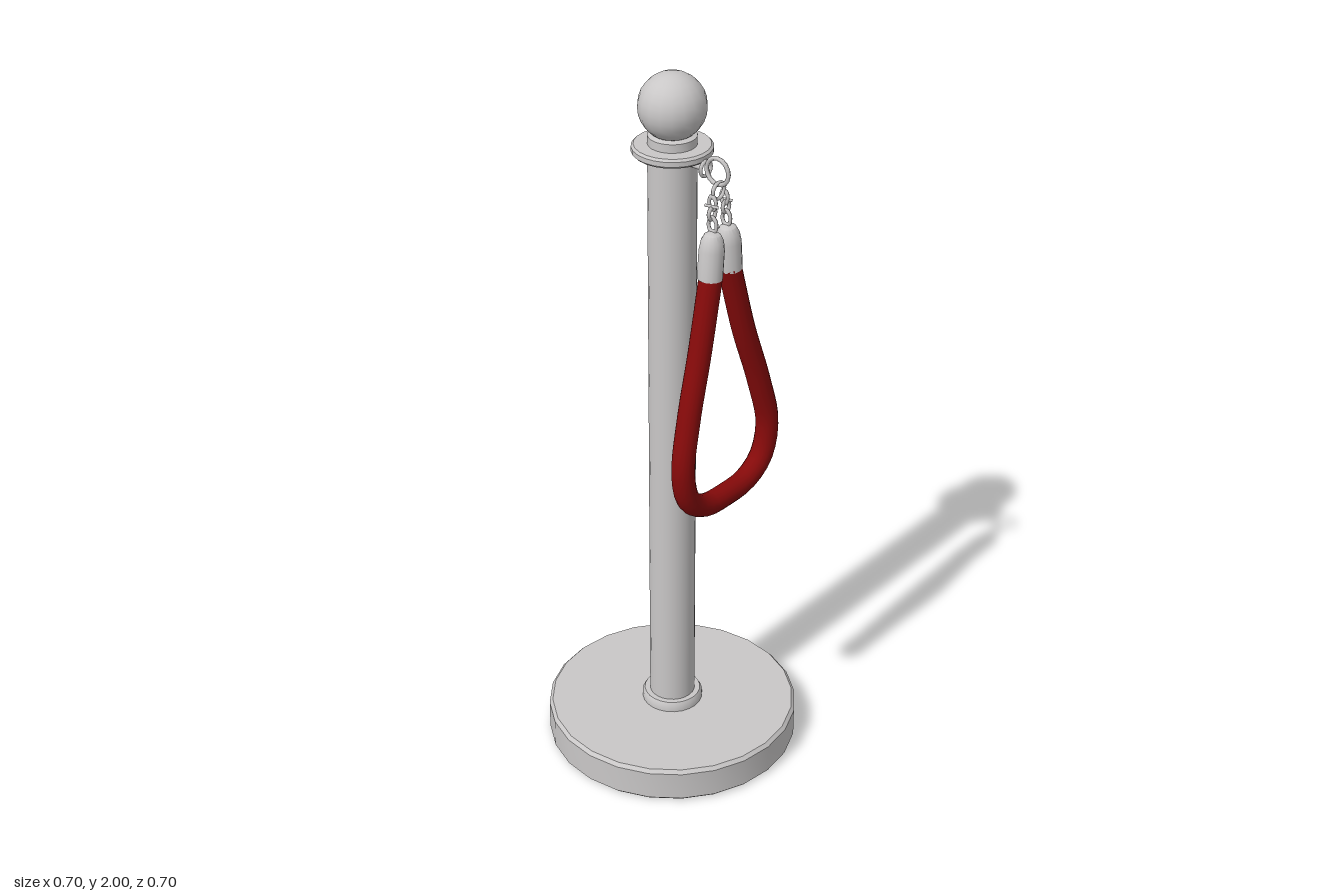
import * as THREE from 'three';
import { toCreasedNormals } from 'three/addons/utils/BufferGeometryUtils.js';

const metal = new THREE.MeshStandardMaterial({ color: 0xc9c7c7 });
metal.name = 'pale metal';
const red = new THREE.MeshStandardMaterial({ color: 0x850a0a });
red.name = 'dark red rope';

const v = (x, y, z) => new THREE.Vector3(x, y, z);

export function createModel() {
  const model = new THREE.Group();
  model.name = 'ropeBarrierPost';

  const add = (name, geometry, material = metal, parent = model) => {
    const mesh = new THREE.Mesh(geometry, material);
    mesh.name = name;
    parent.add(mesh);
    return mesh;
  };
  // Turned part from [radius, height] pairs, with crisp corners
  const turned = (profile, sides) => toCreasedNormals(
    new THREE.LatheGeometry(profile.map(([r, y]) => new THREE.Vector2(r, y)), sides), 0.6);
  // Oval wire link: radius, vertical stretch, position and turn about y
  const link = (name, r, stretch, x, y, z, turn = 0, wire = 0.005) => {
    const mesh = add(name, new THREE.TorusGeometry(r, wire, 6, 16));
    mesh.scale.y = stretch;
    mesh.position.set(x, y, z);
    mesh.rotation.y = turn;
    return mesh;
  };
  // Straight wire between two points
  const rod = (name, a, b, r) =>
    add(name, new THREE.TubeGeometry(new THREE.LineCurve3(a, b), 1, r, 8));

  // Base, pole and their collar
  add('base', turned([[0, 0], [0.342, 0], [0.35, 0.008], [0.35, 0.09], [0.341, 0.1], [0, 0.1]], 24));
  add('baseCollar', turned([[0.084, 0.1], [0.084, 0.118], [0.078, 0.128], [0.062, 0.128]], 24));
  add('pole', new THREE.CylinderGeometry(0.063, 0.063, 1.7, 24, 1, true)).position.y = 0.95;

  // Top flange, neck and ball
  add('topFlange', turned([[0.06, 1.787], [0.098, 1.787], [0.104, 1.793], [0.104, 1.806],
    [0.098, 1.812], [0.063, 1.812], [0.063, 1.835], [0.05, 1.84]], 24));
  add('ball', new THREE.SphereGeometry(0.088, 18, 14)).position.y = 1.912;

  // Hanging rope loop, mirrored about the centre
  const half = [v(0.036, 1.51, 0.158), v(0.088, 1.31, 0.166), v(0.142, 1.14, 0.176),
    v(0.172, 1.0, 0.184), v(0.148, 0.905, 0.184), v(0.085, 0.86, 0.183)];
  const path = [...half, v(0, 0.852, 0.183), ...half.map(p => v(-p.x, p.y, p.z)).reverse()];
  add('rope', new THREE.TubeGeometry(new THREE.CatmullRomCurve3(path), 56, 0.031, 14), red);

  // Hook eye on the pole and the large ring hanging from it
  rod('hookStem', v(0, 1.775, 0.05), v(0, 1.775, 0.098), 0.009);
  link('hookEye', 0.02, 1, 0, 1.775, 0.108);
  link('largeRing', 0.035, 1, 0, 1.778, 0.146, Math.PI / 2, 0.006);
  link('joiningRing', 0.022, 1, 0, 1.728, 0.15);

  for (const side of [1, -1]) {
    // Rope end cap with a domed tip
    const cap = add(side > 0 ? 'leftCap' : 'rightCap', turned([[0.028, -0.065], [0.033, -0.063],
      [0.033, 0.015], [0.029, 0.04], [0.021, 0.056], [0.01, 0.063], [0, 0.064]], 16));
    cap.position.set(side * 0.034, 1.565, 0.157);
    cap.rotation.z = side * 0.08;

    // Chain and swivel snap
    const x = side * 0.027;
    link('lowerLink', 0.013, 1.5, x, 1.645, 0.154, Math.PI / 2);
    link('swivelLink', 0.013, 1.2, x, 1.676, 0.152);
    link('upperLink', 0.011, 1.5, side * 0.023, 1.703, 0.15, Math.PI / 2);
    rod('snapPin', v(x, 1.692, 0.13), v(x, 1.698, 0.175), 0.004);
  }
  return model;
}
